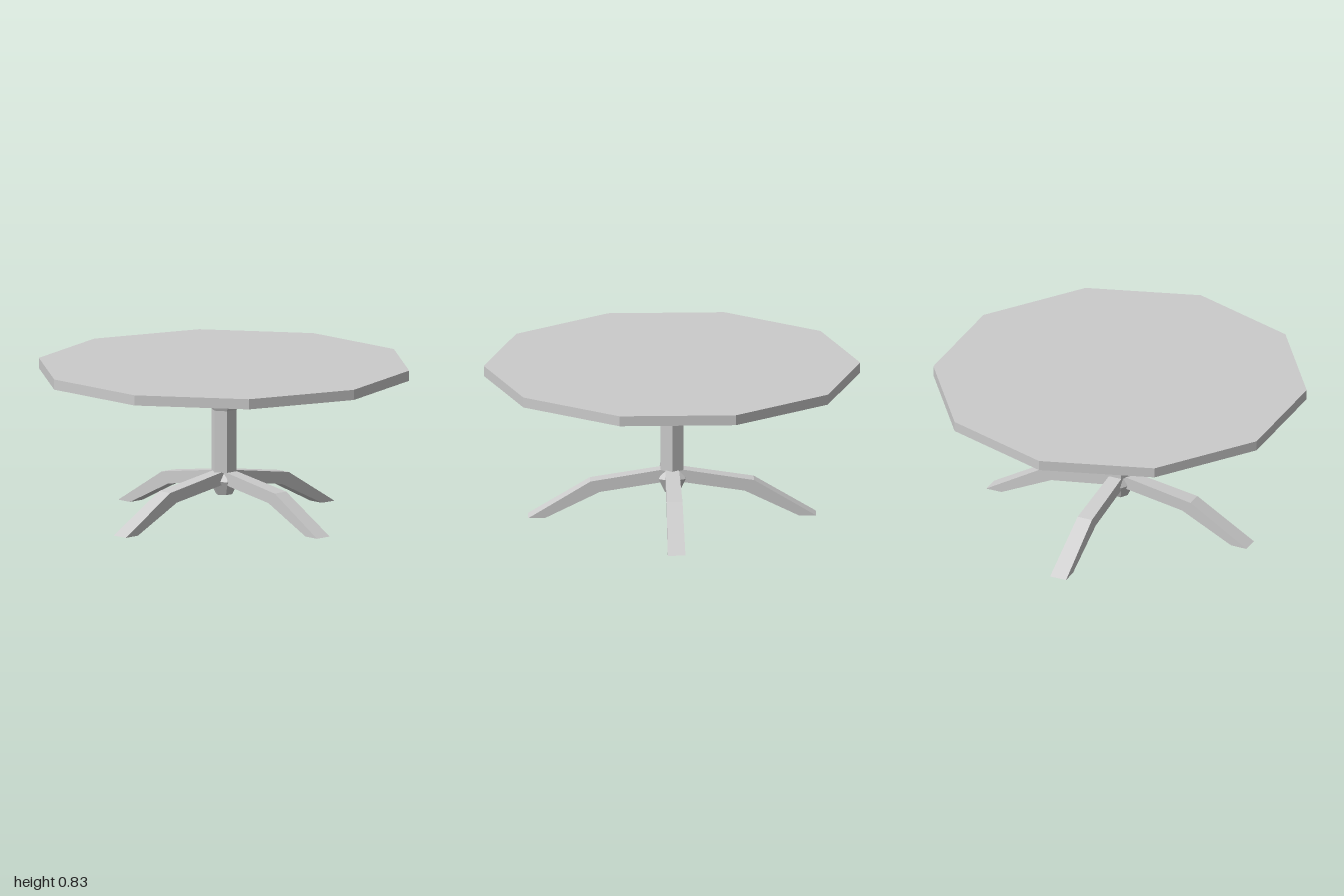
import * as THREE from 'three';

const material = new THREE.MeshStandardMaterial({ color: 0xcccccc, flatShading: true });

function addPart(parent, name, geometry) {
  const mesh = new THREE.Mesh(geometry, material);
  mesh.name = name;
  parent.add(mesh);
  return mesh;
}

// Six-sided turned part from [radius, y] pairs, listed bottom to top
function hexTurning(profile) {
  return new THREE.LatheGeometry(profile.map(([r, y]) => new THREE.Vector2(r, y)), 6);
}

// Bent leg running out along +x, widening toward the foot
function legGeometry() {
  const side = new THREE.Shape([
    [0.03, 0.193], [0.385, 0.14], [0.675, 0], [0.765, 0], [0.435, 0.198], [0.03, 0.262],
  ].map(([x, y]) => new THREE.Vector2(x, y)));
  const geometry = new THREE.ExtrudeGeometry(side, { depth: 2, bevelEnabled: false });
  geometry.translate(0, 0, -1);
  const pos = geometry.attributes.position;
  for (let i = 0; i < pos.count; i++) {
    const halfWidth = THREE.MathUtils.mapLinear(pos.getX(i), 0.03, 0.765, 0.036, 0.047);
    pos.setZ(i, pos.getZ(i) * halfWidth);
  }
  geometry.computeVertexNormals();
  return geometry;
}

export function createModel() {
  const table = new THREE.Group();
  table.name = 'pedestalTable';

  // Ten-sided top with corners on the x axis
  const top = new THREE.CylinderGeometry(1, 1, 0.055, 10, 1, false, Math.PI / 2);
  addPart(table, 'tableTop', top).position.y = 0.8045;

  // Column with a flared capital
  addPart(table, 'column', hexTurning([
    [0, 0.255], [0.07, 0.255], [0.07, 0.59], [0.122, 0.705], [0.106, 0.778],
  ]));

  // Faceted hub under the column
  addPart(table, 'hub', hexTurning([
    [0, 0.132], [0.045, 0.132], [0.083, 0.208], [0.052, 0.258],
  ]));

  // Four legs in a cross
  const legs = new THREE.Group();
  legs.name = 'legs';
  const leg = legGeometry();
  for (let i = 0; i < 4; i++) {
    addPart(legs, 'leg', leg).rotation.y = (i * Math.PI) / 2;
  }
  table.add(legs);

  return table;
}
